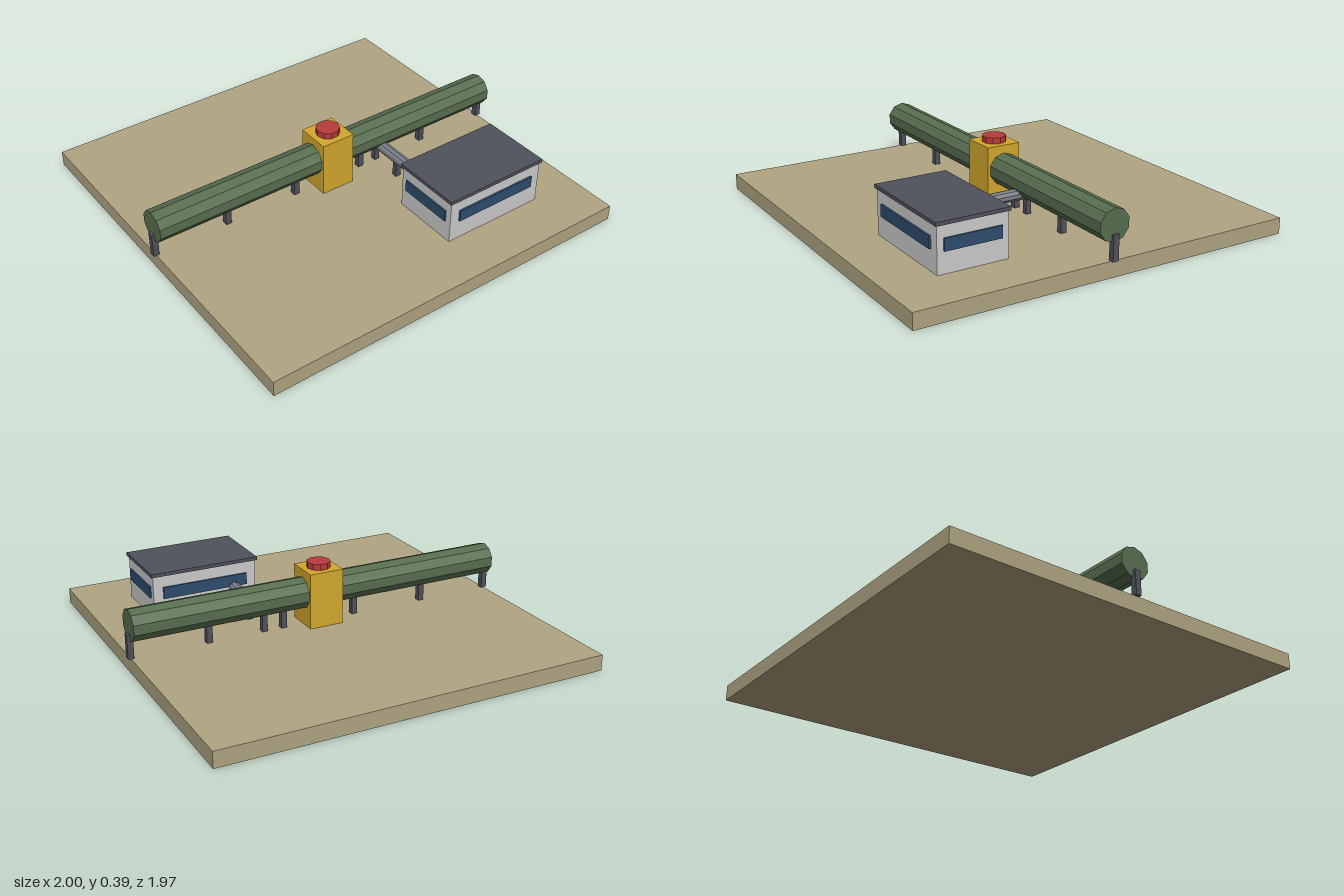
import * as THREE from 'three';

const material = (color) => new THREE.MeshStandardMaterial({ color, flatShading: true });
const SAND = material(0xb0a582), GREEN = material(0x586e50), YELLOW = material(0xd4a82e);
const RED = material(0xb83a3a), STEEL = material(0x7c8088), DARK = material(0x50525c);
const WALL = material(0xd2d2ce), GLASS = material(0x2e4d6e);

const GROUND = 0.08; // top of the ground slab

export function createModel() {
  const model = new THREE.Group();
  model.name = 'pipelineStation';

  const add = (name, geometry, mat, x, y, z, parent = model) => {
    const mesh = new THREE.Mesh(geometry, mat);
    mesh.name = name;
    mesh.position.set(x, y, z);
    parent.add(mesh);
    return mesh;
  };
  const box = (name, mat, [w, h, d], [x, y, z], parent) =>
    add(name, new THREE.BoxGeometry(w, h, d), mat, x, y + h / 2, z, parent);

  // Ground slab
  box('ground', SAND, [1.97, GROUND, 1.97], [0, 0, 0]);

  // Ten-sided pipes with a ridge on top: main along x, branch along z
  const mainPipe = new THREE.CylinderGeometry(0.08, 0.08, 1.97, 10);
  mainPipe.rotateX(Math.PI / 2).rotateY(Math.PI / 2);
  add('mainPipe', mainPipe, GREEN, 0, 0.245, 0);

  const branchPipe = new THREE.CylinderGeometry(0.03, 0.03, 0.352, 10);
  branchPipe.rotateX(Math.PI / 2);
  add('branchPipe', branchPipe, STEEL, 0.3, 0.185, 0.176);

  // Pipe supports
  for (let i = 0; i < 6; i++) {
    box('mainSupport', DARK, [0.03, 0.125, 0.03], [-0.985 + i * 0.394, GROUND, 0]);
  }
  for (let i = 0; i < 3; i++) {
    box('branchSupport', DARK, [0.028, 0.085, 0.028], [0.3, GROUND, i * 0.176]);
  }

  // Valve block with hand wheel
  box('valveBlock', YELLOW, [0.178, 0.284, 0.178], [0, GROUND, 0]);
  const wheel = new THREE.CylinderGeometry(0.06, 0.06, 0.03, 10).rotateY(Math.PI / 2);
  add('valveWheel', wheel, RED, 0, 0.379, 0);

  // Control building
  const building = new THREE.Group();
  building.name = 'controlBuilding';
  building.position.set(0.45, 0, 0.552);
  model.add(building);
  box('walls', WALL, [0.552, 0.225, 0.354], [0, GROUND, 0], building);
  box('roof', DARK, [0.57, 0.018, 0.37], [0, 0.305, 0], building);
  for (const side of [-1, 1]) {
    box('longWindow', GLASS, [0.45, 0.06, 0.02], [0, 0.185, side * 0.177], building);
    box('sideWindow', GLASS, [0.02, 0.06, 0.288], [side * 0.274, 0.185, 0], building);
  }

  return model;
}
